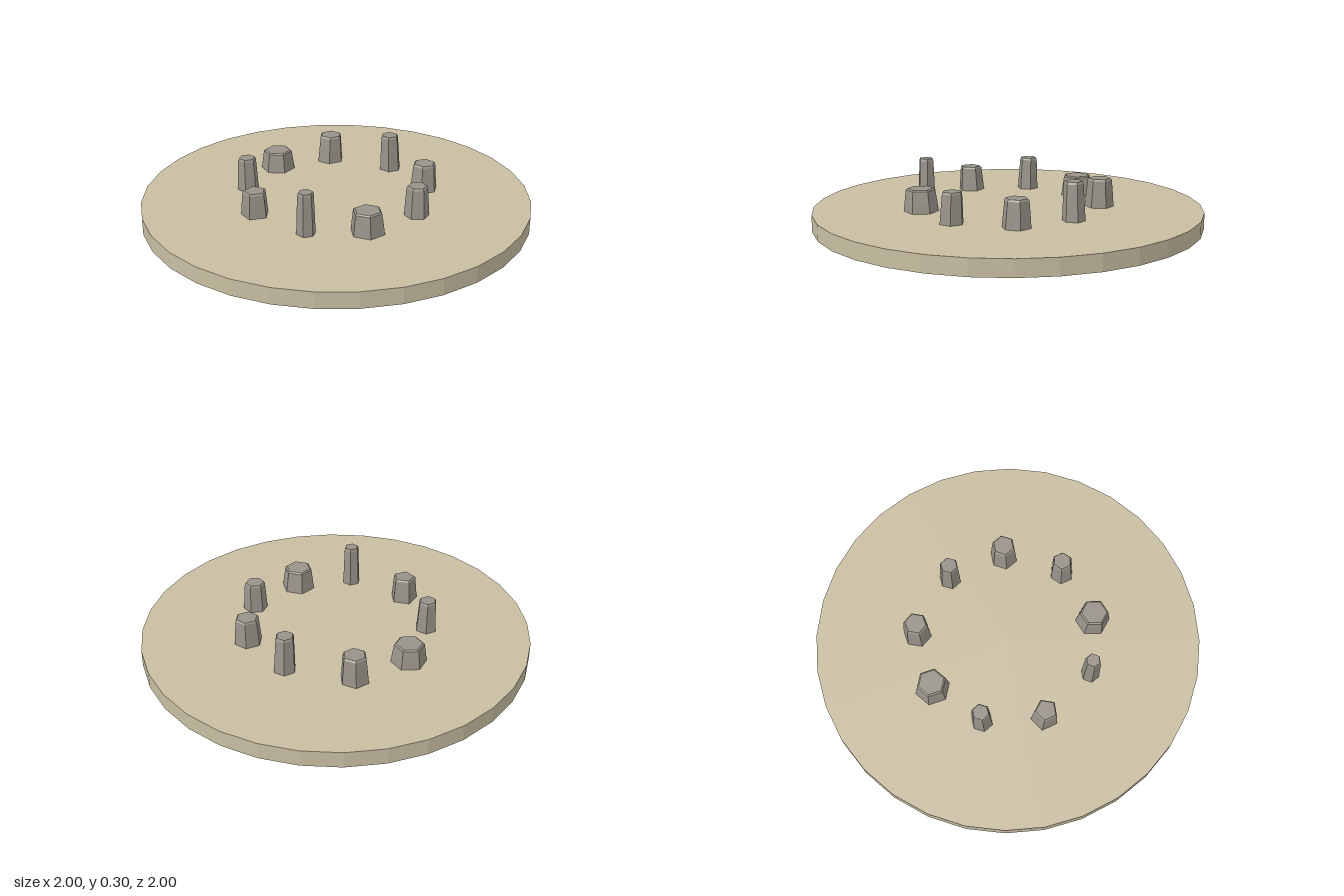
import * as THREE from 'three';

const BASE_HEIGHT = 0.085;

// Faceted upright stone: a cylinder whose rings follow a flared, bevelled profile
function makeStone(radius, height, sides, turn, leanX, leanZ, material) {
  const rings = [[0, 1], [0.45, 0.93], [0.94, 0.84], [1, 0.74]]; // height fraction, radius fraction
  const geometry = new THREE.CylinderGeometry(1, 1, 3, sides, 3, false, Math.PI / 2 - THREE.MathUtils.degToRad(turn));
  const p = geometry.attributes.position;
  for (let i = 0; i < p.count; i++) {
    const [h, r] = rings[Math.round(p.getY(i) + 1.5)];
    p.setXYZ(i, p.getX(i) * r * radius + leanX * h, h * height, p.getZ(i) * r * radius + leanZ * h);
  }
  geometry.computeVertexNormals();
  return new THREE.Mesh(geometry, material);
}

export function createModel() {
  const sand = new THREE.MeshStandardMaterial({ color: 0xc8bea2, flatShading: true });
  sand.name = 'sandyGround';
  const stone = new THREE.MeshStandardMaterial({ color: 0x99938a, flatShading: true });
  stone.name = 'greyStone';

  const model = new THREE.Group();
  model.name = 'stoneCircle';

  // Round ground slab
  const ground = new THREE.Mesh(new THREE.CylinderGeometry(1, 1, BASE_HEIGHT, 32), sand);
  ground.name = 'groundDisc';
  ground.position.y = BASE_HEIGHT / 2;
  model.add(ground);

  // Ring of stones: x, z, radius, top y, sides, turn in degrees, lean x, lean z
  const stones = [
    [0.453, 0.013, 0.058, 0.28, 6, 30, -0.006, -0.002],
    [0.347, 0.308, 0.073, 0.228, 6, 33, 0.002, 0],
    [0.064, 0.463, 0.063, 0.242, 6, -11, 0.003, -0.003],
    [-0.236, 0.388, 0.088, 0.202, 6, 13, -0.004, 0],
    [-0.436, 0.168, 0.048, 0.302, 6, 36, 0, 0],
    [-0.435, -0.163, 0.072, 0.215, 5, 18, -0.003, 0.002],
    [-0.231, -0.406, 0.056, 0.257, 6, 32, 0.002, -0.004],
    [0.072, -0.468, 0.09, 0.19, 6, -5, 0, 0],
    [0.345, -0.322, 0.074, 0.232, 6, 24, 0.002, 0.002],
  ];
  const ring = new THREE.Group();
  ring.name = 'stoneRing';
  stones.forEach(([x, z, r, top, sides, turn, leanX, leanZ], i) => {
    const mesh = makeStone(r, top - BASE_HEIGHT, sides, turn, leanX, leanZ, stone);
    mesh.name = `stone${i + 1}`;
    mesh.position.set(x, BASE_HEIGHT, z);
    ring.add(mesh);
  });
  model.add(ring);
  return model;
}
